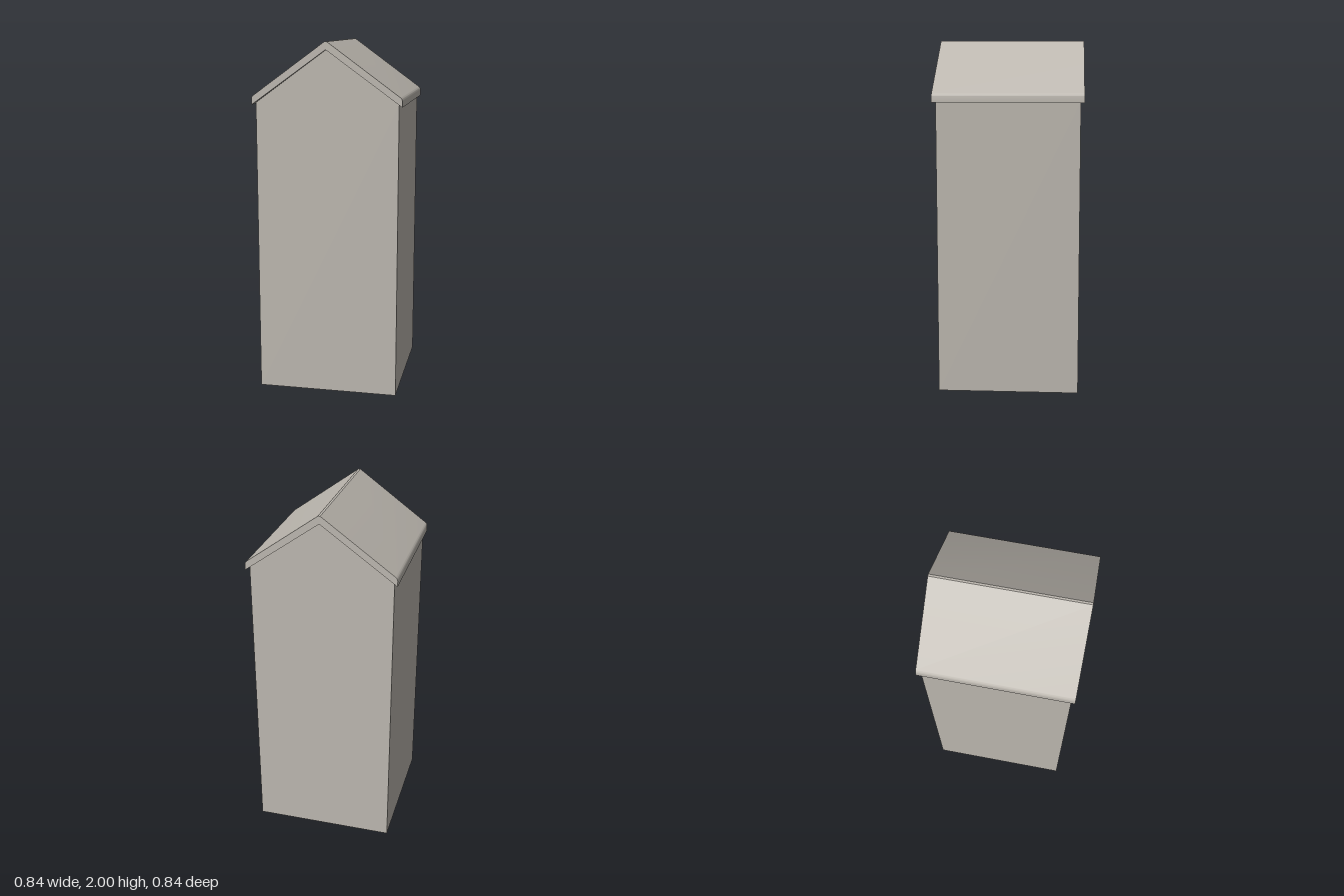
import * as THREE from 'three';
import { toCreasedNormals } from 'three/addons/utils/BufferGeometryUtils.js';

// Extrudes a front-facing shape along z, centred on z = 0
function extrudeCentred(shape, depth, crease) {
  const geo = new THREE.ExtrudeGeometry(shape, { depth, bevelEnabled: false, curveSegments: 6 });
  geo.translate(0, 0, -depth / 2);
  return toCreasedNormals(geo, crease);
}

export function createModel() {
  const model = new THREE.Group();
  const stone = new THREE.MeshStandardMaterial({ color: 0xbdb8b0 });
  stone.name = 'warm grey stone';

  const add = (name, geometry) => {
    const mesh = new THREE.Mesh(geometry, stone);
    mesh.name = name;
    model.add(mesh);
  };

  // Tall body with a gable at front and back
  const body = new THREE.Shape();
  body.moveTo(-0.4, 0);
  body.lineTo(0.4, 0);
  body.lineTo(0.4, 1.667);
  body.lineTo(0, 1.957);
  body.lineTo(-0.4, 1.667);
  body.closePath();
  add('body', extrudeCentred(body, 0.8, 0.4));

  // Pitched roof slab with a narrow flat ridge and rounded eaves
  const roof = new THREE.Shape();
  roof.moveTo(0, 1.957);
  roof.lineTo(0.42, 1.655);
  roof.lineTo(0.42, 1.685);
  roof.quadraticCurveTo(0.42, 1.699, 0.408, 1.708);
  roof.lineTo(0.006, 2);
  roof.lineTo(-0.006, 2);
  roof.lineTo(-0.408, 1.708);
  roof.quadraticCurveTo(-0.42, 1.699, -0.42, 1.685);
  roof.lineTo(-0.42, 1.655);
  roof.closePath();
  add('roof', extrudeCentred(roof, 0.84, 0.45));

  return model;
}
